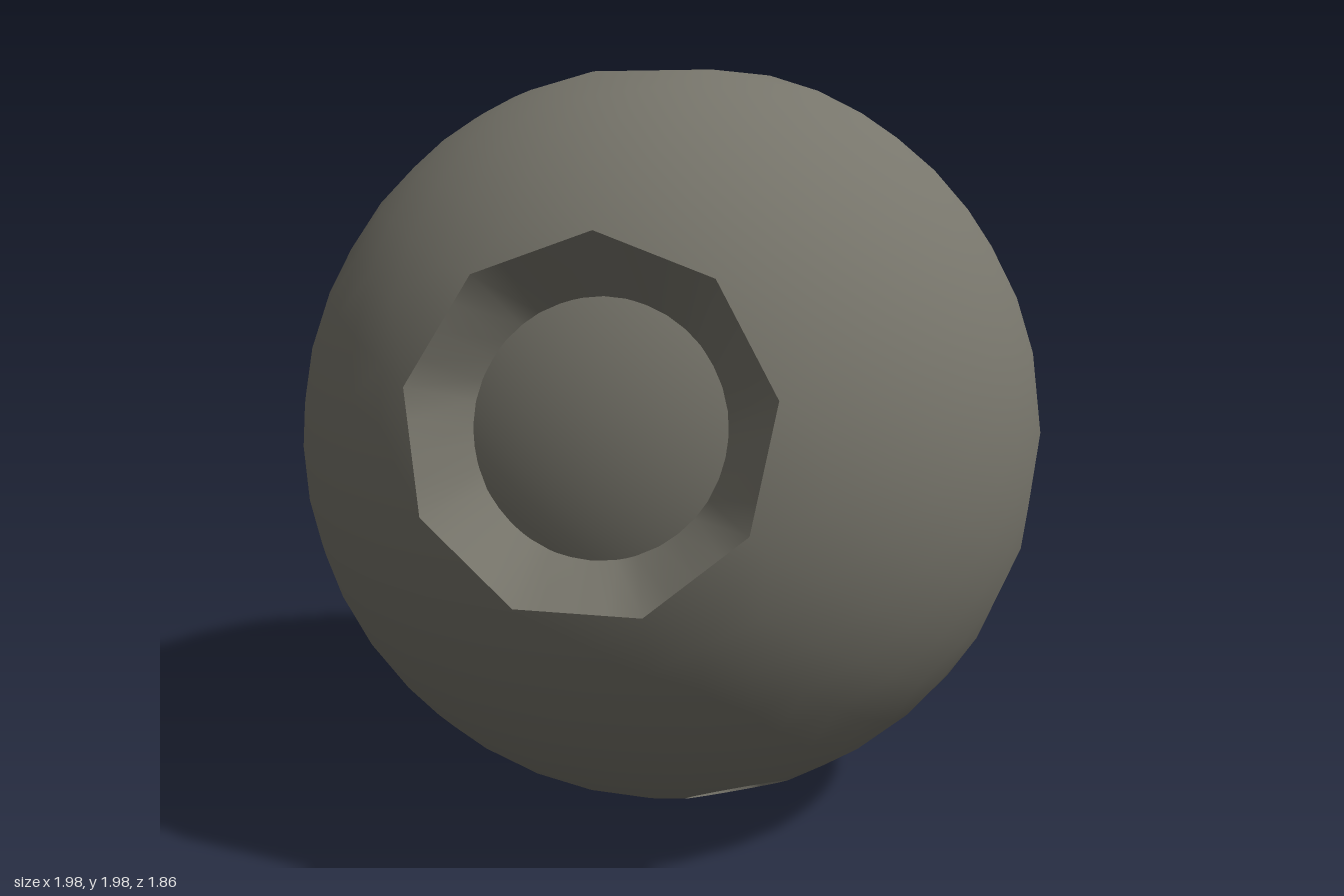
import * as THREE from 'three';
import { ConvexGeometry } from 'three/addons/geometries/ConvexGeometry.js';

const R = 1.01;     // outer crust radius
const CORE = 0.848; // radius of the convex crater floors

// direction, rim radius, floor radius, rim sides, direction of the first rim corner
const CRATERS = [
  { name: 'frontCrater', dir: [-0.28, 0.19, 0.94], rim: 0.435, floor: 0.3, sides: 9, corner: [0, 1, 0] },
  { name: 'leftCrater', dir: [0.983, -0.18, 0], rim: 0.446, floor: 0.3, sides: 9, corner: [0, -1, 0] },
  { name: 'backCrater', dir: [-0.07, 0.06, -1], rim: 0.605, floor: 0.47, sides: 12, corner: [0, 1, 0] },
  { name: 'topCrater', dir: [0, 1, 0], rim: 0.265, floor: 0.145, sides: 5, corner: [1, 0, 0] },
  { name: 'lowerFrontCrater', dir: [0.135, -0.86, 0.45], rim: 0.14, floor: 0.1, sides: 12, corner: [1, 0, 0] },
  { name: 'lowerBackCrater', dir: [-0.67, -0.505, -0.49], rim: 0.16, floor: 0.115, sides: 12, corner: [0, 1, 0] },
];

const key = (p) => [p.x, p.y, p.z].map((v) => Math.round(v * 1e4)).join();

// Adds the local axes, the rim plane distance and the rim corners
function layOut(c) {
  const n = new THREE.Vector3(...c.dir).normalize();
  const u = new THREE.Vector3(...c.corner).projectOnPlane(n).normalize();
  const v = new THREE.Vector3().crossVectors(n, u);
  const dist = Math.sqrt(R * R - c.rim * c.rim);
  const at = (angle, radius, height) => n.clone().multiplyScalar(height)
    .addScaledVector(u, Math.cos(angle) * radius)
    .addScaledVector(v, Math.sin(angle) * radius);
  const corners = [];
  for (let i = 0; i < c.sides; i++) corners.push(at((i / c.sides) * Math.PI * 2, c.rim, dist));
  return { ...c, n, dist, at, corners };
}

// Smooth ball with polygonal openings: hull of sphere points and rims, without the rim caps
function crustGeometry(craters) {
  const points = new Map();
  const ball = new THREE.IcosahedronGeometry(R, 7).getAttribute('position');
  for (let i = 0; i < ball.count; i++) {
    const p = new THREE.Vector3().fromBufferAttribute(ball, i);
    if (craters.every((c) => p.dot(c.n) < c.dist - 0.015)) points.set(key(p), p);
  }
  const owner = new Map();
  craters.forEach((c, i) => c.corners.forEach((p) => {
    points.set(key(p), p);
    owner.set(key(p), i);
  }));
  const hull = new ConvexGeometry([...points.values()]).getAttribute('position');
  const pos = [], nor = [];
  for (let i = 0; i < hull.count; i += 3) {
    const tri = [0, 1, 2].map((k) => new THREE.Vector3().fromBufferAttribute(hull, i + k));
    const [a, b, c] = tri.map((p) => owner.get(key(p)));
    if (a !== undefined && a === b && b === c) continue;
    for (const p of tri) {
      pos.push(p.x, p.y, p.z);
      nor.push(p.x / R, p.y / R, p.z / R);
    }
  }
  const g = new THREE.BufferGeometry();
  g.setAttribute('position', new THREE.Float32BufferAttribute(pos, 3));
  g.setAttribute('normal', new THREE.Float32BufferAttribute(nor, 3));
  return g;
}

// Sloping wall from the polygonal rim down to a round edge on the core
function wallGeometry(c) {
  const step = 4, count = c.sides * step;
  const floorHeight = Math.sqrt(CORE * CORE - c.floor * c.floor) - 0.003;
  const pos = [], index = [];
  for (let i = 0; i < count; i++) {
    const side = Math.floor(i / step);
    const top = c.corners[side].clone().lerp(c.corners[(side + 1) % c.sides], (i % step) / step);
    const low = c.at((i / count) * Math.PI * 2, c.floor, floorHeight);
    pos.push(...top.toArray(), ...low.toArray());
    const a = i * 2, b = ((i + 1) % count) * 2;
    index.push(a, b, a + 1, b, b + 1, a + 1);
  }
  const g = new THREE.BufferGeometry();
  g.setAttribute('position', new THREE.Float32BufferAttribute(pos, 3));
  g.setIndex(index);
  g.computeVertexNormals();
  return g;
}

export function createModel() {
  const rock = new THREE.MeshStandardMaterial({ color: 0x77756b });
  rock.name = 'greyRock';
  const group = new THREE.Group();
  group.name = 'crateredMoon';
  const body = new THREE.Group();
  body.name = 'body';
  body.position.set(0.02, R - 0.003, -0.08);
  group.add(body);
  const add = (name, geometry) => {
    const mesh = new THREE.Mesh(geometry, rock);
    mesh.name = name;
    body.add(mesh);
  };

  const craters = CRATERS.map(layOut);
  add('crust', crustGeometry(craters));
  // The inner ball shows as the crater floors
  add('craterFloors', new THREE.SphereGeometry(CORE, 64, 40));
  for (const c of craters) add(c.name + 'Wall', wallGeometry(c));
  return group;
}
